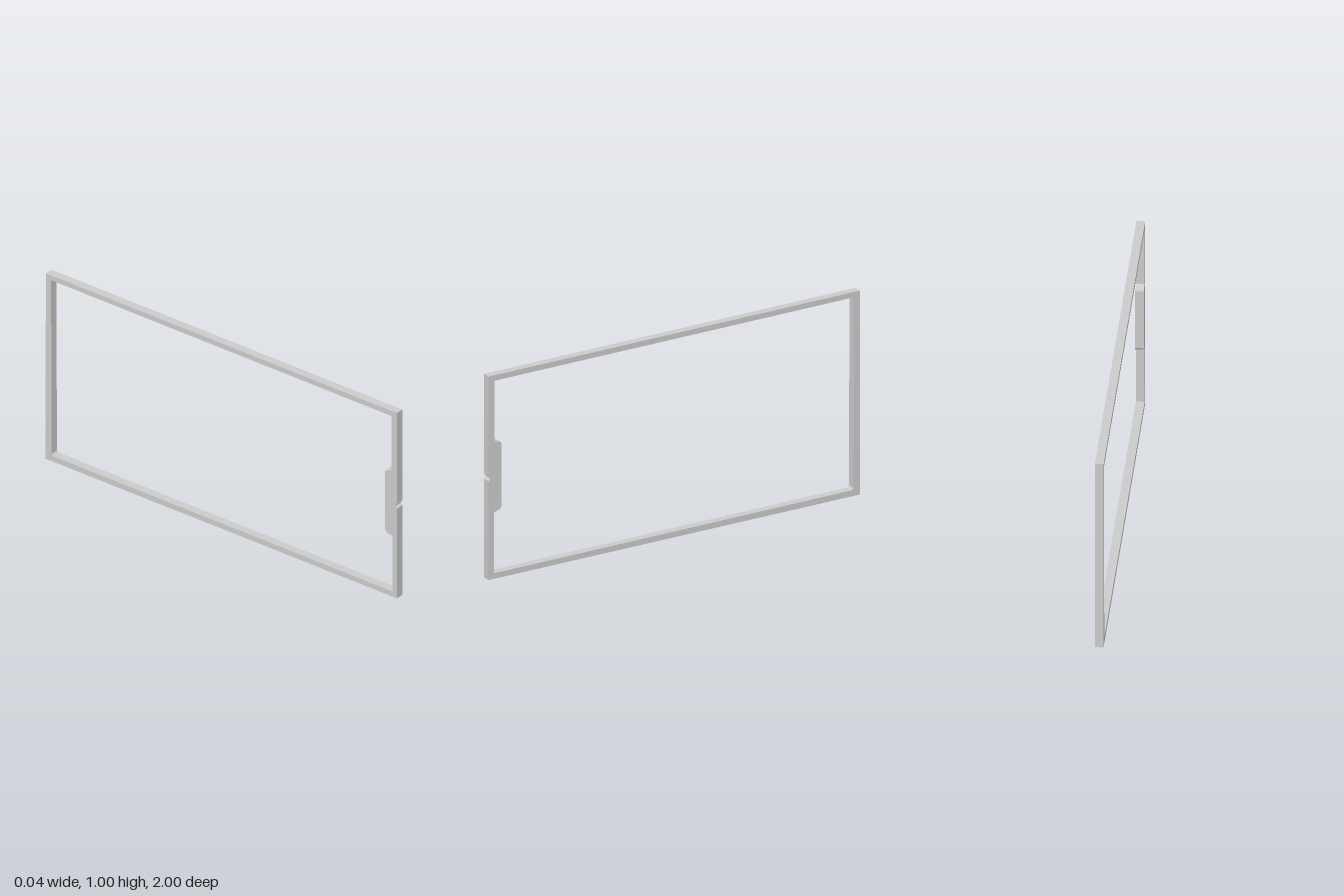
import * as THREE from 'three';

const THICKNESS = 0.04;

const toPoints = (list) => list.map(([s, y]) => new THREE.Vector2(s, y));

export function createModel() {
  const group = new THREE.Group();
  group.name = 'rectangularFrame';

  // Outer outline, slightly out of square, with a small notch in the front edge
  const outline = new THREE.Shape(toPoints([
    [-1, 0.009], [1, 0], [0.998, 0.998], [-0.999, 1.005],
    [-1, 0.518], [-0.99, 0.51], [-0.99, 0.502], [-1, 0.492],
  ]));

  // Opening with softened corners and a thicker chamfered tab at the front
  outline.holes.push(new THREE.Path(toPoints([
    [-0.972, 0.036], [-0.972, 0.334], [-0.939, 0.342], [-0.931, 0.355],
    [-0.931, 0.664], [-0.935, 0.672], [-0.968, 0.682], [-0.968, 0.978],
    [0.968, 0.972], [0.965, 0.04], [0.961, 0.033], [0.952, 0.03],
  ])));

  const geometry = new THREE.ExtrudeGeometry(outline, { depth: THICKNESS, bevelEnabled: false });
  geometry.translate(0, 0, -THICKNESS / 2);
  geometry.rotateY(Math.PI / 2); // outline runs along z, thickness along x

  const frame = new THREE.Mesh(
    geometry,
    new THREE.MeshStandardMaterial({ color: 0xcccccc, flatShading: true }),
  );
  frame.name = 'frame';
  group.add(frame);
  return group;
}
